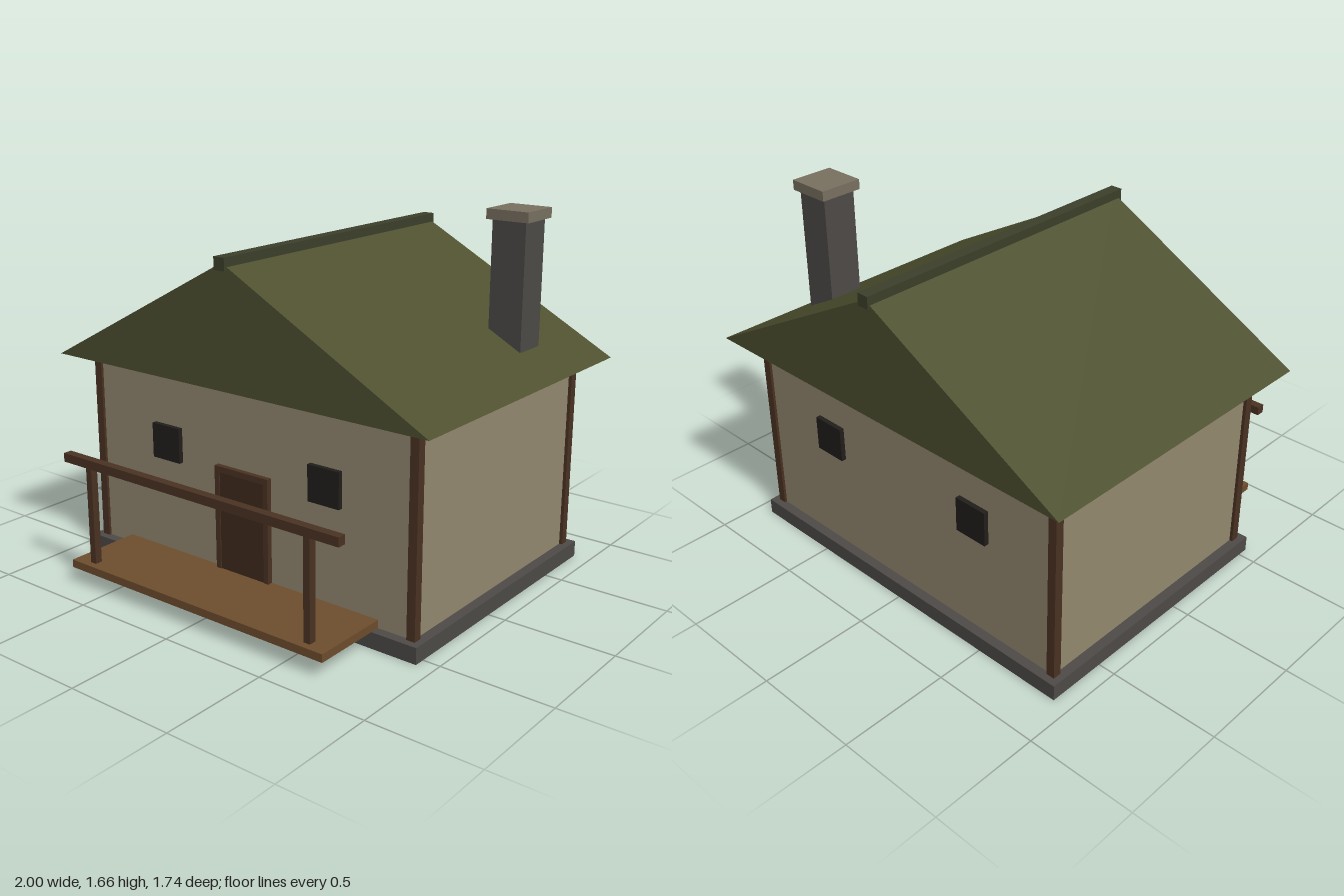
import * as THREE from 'three';

const mat = (color) => new THREE.MeshStandardMaterial({ color, flatShading: true });

export function createModel() {
  const group = new THREE.Group();
  const stone = mat(0x4d4a47), plaster = mat(0x93886f), timber = mat(0x4a3222);
  const plank = mat(0x6e4d2e), thatch = mat(0x4e5030), ridgeMat = mat(0x3c3f2a);
  const dark = mat(0x211e1b), capMat = mat(0x787060), doorMat = mat(0x3f2a1c);

  // Box given by its extents along each axis
  function box(name, material, [x0, x1], [y0, y1], [z0, z1]) {
    const mesh = new THREE.Mesh(new THREE.BoxGeometry(x1 - x0, y1 - y0, z1 - z0), material);
    mesh.position.set((x0 + x1) / 2, (y0 + y1) / 2, (z0 + z1) / 2);
    mesh.name = name;
    group.add(mesh);
    return mesh;
  }

  // House body
  box('foundation', stone, [-0.92, 0.92], [0, 0.073], [-0.78, 0.55]);
  box('walls', plaster, [-0.875, 0.875], [0.073, 0.925], [-0.735, 0.505]);
  box('wallPlate', timber, [-0.895, 0.895], [0.922, 0.96], [-0.755, 0.525]);

  // Gabled roof with closed ends
  const gable = new THREE.Shape();
  gable.moveTo(-1, 0.96);
  gable.lineTo(1, 0.96);
  gable.lineTo(0, 1.495);
  gable.closePath();
  const roof = new THREE.Mesh(
    new THREE.ExtrudeGeometry(gable, { depth: 1.48, bevelEnabled: false }), thatch);
  roof.position.z = -0.86;
  roof.name = 'roof';
  group.add(roof);
  box('ridgeBeam', ridgeMat, [-0.028, 0.028], [1.465, 1.52], [-0.87, 0.635]);

  // Chimney
  box('chimney', stone, [0.66, 0.82], [0.98, 1.615], [-0.51, -0.35]);
  box('chimneyCap', capMat, [0.64, 0.84], [1.615, 1.66], [-0.53, -0.33]);

  // Mirrored parts: corner posts, windows, porch posts, door jambs
  for (const s of [-1, 1]) {
    const side = s < 0 ? 'right' : 'left';
    const span = (a, b) => (s > 0 ? [a, b] : [-b, -a]);
    box(side + 'FrontCornerPost', timber, span(0.85, 0.89), [0.073, 0.925], [0.477, 0.517]);
    box(side + 'BackCornerPost', timber, span(0.85, 0.89), [0.073, 0.925], [-0.747, -0.707]);
    box(side + 'FrontWindow', dark, span(0.36, 0.52), [0.542, 0.702], [0.495, 0.527]);
    box(side + 'BackWindow', dark, span(0.36, 0.52), [0.542, 0.702], [-0.757, -0.725]);
    box(side + 'PorchPost', timber, span(0.588, 0.62), [0.11, 0.555], [0.804, 0.838]);
    box(side + 'DoorJamb', timber, span(0.122, 0.148), [0.11, 0.585], [0.495, 0.53]);
  }

  // Door
  box('doorLintel', timber, [-0.122, 0.122], [0.558, 0.585], [0.495, 0.53]);
  box('door', doorMat, [-0.122, 0.122], [0.11, 0.558], [0.495, 0.526]);

  // Porch
  box('porchDeck', plank, [-0.705, 0.705], [0.074, 0.11], [0.505, 0.87]);
  box('porchBeam', timber, [-0.758, 0.758], [0.553, 0.593], [0.8, 0.84]);

  return group;
}
